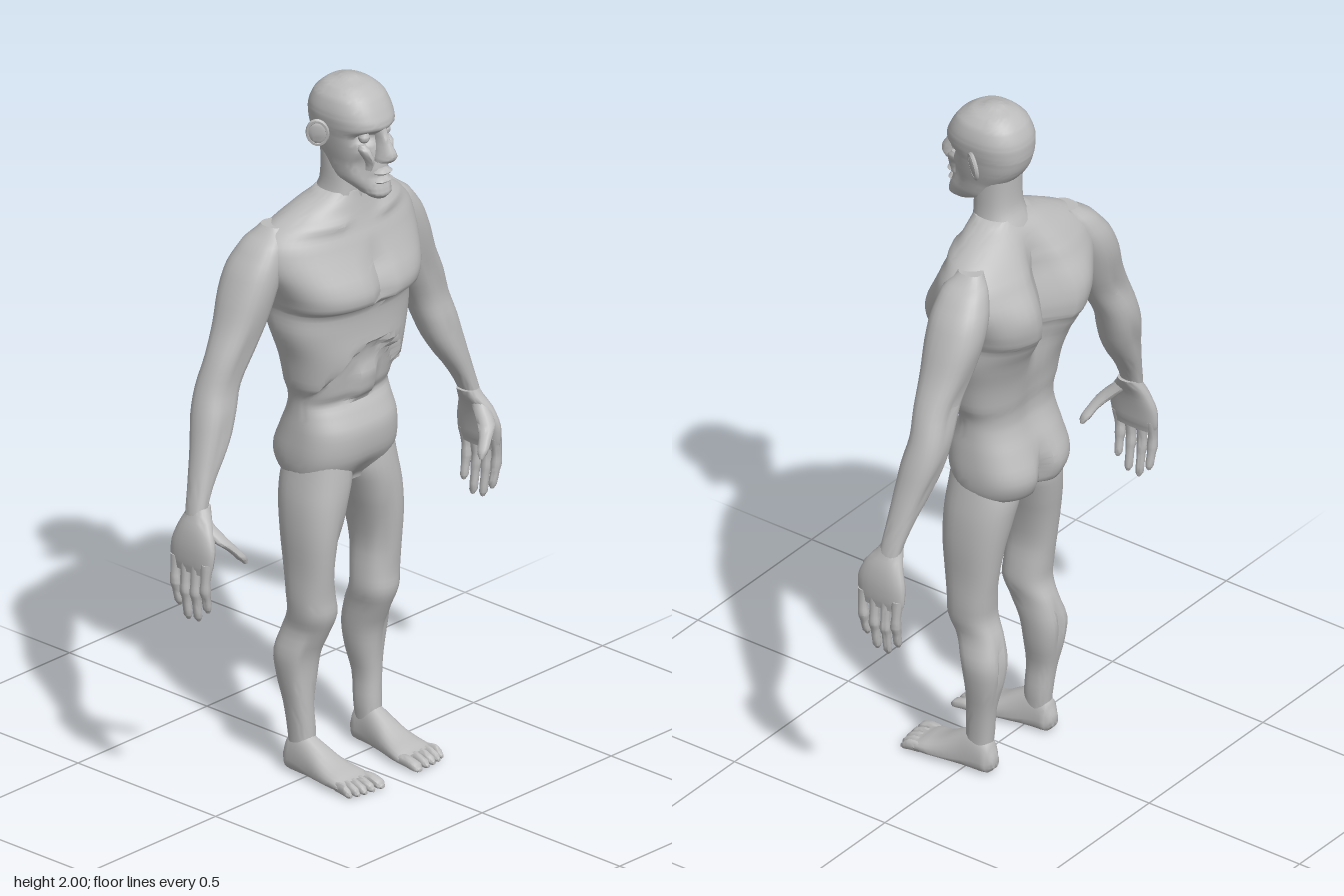
import * as THREE from 'three';
import { toCreasedNormals } from 'three/addons/utils/BufferGeometryUtils.js';

const bump = (v, c, w) => Math.exp(-(((v - c) / w) ** 2));
const step = THREE.MathUtils.smoothstep;

// Smooth interpolation through four values
const spline = (a, b, c, d, t) =>
  b + 0.5 * t * (c - a + t * (2 * a - 5 * b + 4 * c - d + t * (3 * (b - c) + d - a)));

// Skin over rising cross-sections [y, xMin, xMax, zBack, zFront, zWidest, roundness]
function loft(rows, n = 20, sub = 3, deform) {
  const full = rows.map(([y, x0, x1, zb, zf, zs = (zb + zf) / 2, e = 0.85]) => [y, x0, x1, zb, zf, zs, e]);
  const pos = [], idx = [], last = full.length - 1, rings = last * sub;
  for (let i = 0; i <= rings; i++) {
    const k = Math.min(Math.floor(i / sub), last - 1), t = i / sub - k;
    const row = (q) => full[Math.max(0, Math.min(last, q))];
    const [y, x0, x1, zb, zf, zs, e] = full[0].map((_, c) =>
      c ? spline(row(k - 1)[c], row(k)[c], row(k + 1)[c], row(k + 2)[c], t)
        : THREE.MathUtils.lerp(row(k)[0], row(k + 1)[0], t));
    for (let j = 0; j < n; j++) {
      const a = (j / n) * Math.PI * 2, c = Math.cos(a), s = Math.sin(a);
      const p = new THREE.Vector3(
        (x0 + x1) / 2 + ((x1 - x0) / 2) * Math.sign(c) * Math.abs(c) ** e, y,
        zs + (s > 0 ? zf - zs : zs - zb) * Math.sign(s) * Math.abs(s) ** e);
      if (deform) deform(p, s);
      pos.push(p.x, p.y, p.z);
    }
  }
  for (let i = 0; i < rings; i++) for (let j = 0; j < n; j++) {
    const a = i * n + j, b = i * n + (j + 1) % n;
    idx.push(a, a + n, b, b, a + n, b + n);
  }
  // Closed ends
  for (const [ring, end] of [[0, full[0]], [rings, full[last]]]) {
    const c = pos.length / 3, o = ring * n;
    pos.push((end[1] + end[2]) / 2, end[0], (end[3] + end[4]) / 2);
    for (let j = 0; j < n; j++) {
      const k = (j + 1) % n;
      idx.push(c, o + (ring ? k : j), o + (ring ? j : k));
    }
  }
  const g = new THREE.BufferGeometry();
  g.setAttribute('position', new THREE.Float32BufferAttribute(pos, 3));
  g.setIndex(idx);
  return g;
}

// Copy on the other side, with the corner order turned round
function mirror(geo) {
  const g = geo.clone().scale(-1, 1, 1), i = g.index.array;
  for (let k = 0; k < i.length; k += 3) [i[k], i[k + 1]] = [i[k + 1], i[k]];
  return g;
}

const sym = (rows) => rows.map(([y, w, ...rest]) => [y, -w, w, ...rest]);

export function createModel() {
  const model = new THREE.Group();
  const skin = new THREE.MeshStandardMaterial({ color: 0xbcbcbc });
  skin.name = 'grey skin';
  const add = (name, geo) => {
    const m = new THREE.Mesh(toCreasedNormals(geo, 0.75), skin);
    m.name = name;
    model.add(m);
  };
  const pair = (name, geo) => {
    add('left ' + name, geo);
    add('right ' + name, mirror(geo));
  };

  // Torso with chest, rib arch, spine groove and buttocks
  add('torso', loft(sym([
    [0.83, 0.1, -0.1, 0.05, -0.03], [0.86, 0.155, -0.155, 0.07, -0.03],
    [0.92, 0.168, -0.172, 0.095, -0.03, 0.75], [1.0, 0.165, -0.145, 0.1, -0.02, 0.8],
    [1.06, 0.16, -0.12, 0.075, -0.02], [1.1, 0.162, -0.115, 0.1, -0.02],
    [1.14, 0.177, -0.12, 0.107, -0.02], [1.22, 0.192, -0.135, 0.117, -0.02],
    [1.3, 0.215, -0.165, 0.113, -0.02], [1.365, 0.215, -0.2, 0.118, -0.03, 0.8],
    [1.385, 0.222, -0.21, 0.148, -0.03, 0.75], [1.43, 0.24, -0.21, 0.148, -0.04, 0.75],
    [1.5, 0.272, -0.19, 0.115, -0.06, 0.85], [1.56, 0.272, -0.162, 0.09, -0.06, 0.95],
    [1.6, 0.235, -0.135, 0.075, -0.05, 1], [1.64, 0.16, -0.105, 0.065, -0.03, 1],
    [1.68, 0.08, -0.075, 0.058, -0.01, 1],
  ]), 56, 4, (p, s) => {
    const ax = Math.abs(p.x), y = p.y;
    if (s < 0) {
      const groove = 0.06 * step(y, 1.2, 1.4) * (1 - step(y, 1.5, 1.66)) + 0.012;
      p.z += groove * bump(ax, 0, 0.05) * -s;
      p.z += 0.05 * bump(ax, 0, 0.022) * bump(y, 0.89, 0.06);
      p.z -= 0.012 * bump(ax, 0.13, 0.05) * bump(y, 1.47, 0.05);
    } else {
      const arch = 1.26 - 5 * ax * ax;
      p.z -= 0.035 * s * (1 - step(y, arch - 0.025, arch)) * step(y, 1.05, 1.09);
      p.z += 0.016 * (1 - step(ax, 0.03, 0.05)) * step(y, 1.07, 1.09) * (1 - step(y, 1.15, 1.19));
      p.z -= 0.022 * bump(ax, 0, 0.018) * step(y, 1.36, 1.4) * (1 - step(y, 1.46, 1.56));
      p.z += 0.012 * s * bump(y, 1.6 + ax * 0.05, 0.014) * step(ax, 0.04, 0.09);
      p.z -= 0.02 * bump(ax, 0, 0.05) * bump(y, 0.85, 0.04);
    }
  }));

  add('neck', loft(sym([
    [1.6, 0.1, -0.1, 0.05], [1.66, 0.075, -0.08, 0.062], [1.7, 0.066, -0.062, 0.062],
    [1.75, 0.064, -0.058, 0.06], [1.82, 0.062, -0.06, 0.04],
  ]), 24, 3, (p, s) => { if (s > 0) p.z -= 0.012 * bump(Math.abs(p.x), 0.025, 0.012); }));

  // Head with eye sockets, hollow cheeks and mouth line
  add('head', loft(sym([
    [1.682, 0.022, 0.09, 0.145], [1.695, 0.038, 0.065, 0.155], [1.73, 0.06, 0.0, 0.146, 0.04],
    [1.78, 0.07, -0.045, 0.138, 0.03], [1.82, 0.08, -0.078, 0.132, 0.02],
    [1.86, 0.088, -0.093, 0.128, 0.02], [1.885, 0.093, -0.096, 0.148, 0.02],
    [1.92, 0.095, -0.094, 0.137, 0.02], [1.96, 0.083, -0.076, 0.112, 0.02],
    [1.985, 0.058, -0.048, 0.077, 0.015], [2.0, 0.02, -0.008, 0.035, 0.012],
  ]), 48, 5, (p, s) => {
    if (s < 0) return;
    const ax = Math.abs(p.x);
    p.z -= 0.026 * bump(ax, 0.04, 0.022) * bump(p.y, 1.858, 0.016);
    p.z -= 0.02 * bump(ax, 0.05, 0.015) * bump(p.y, 1.775, 0.03);
    p.z -= 0.012 * bump(ax, 0, 0.035) * bump(p.y, 1.745, 0.007);
  }));
  add('nose', loft(sym([
    [1.785, 0.014, 0.11, 0.15], [1.792, 0.026, 0.11, 0.172], [1.81, 0.022, 0.11, 0.185],
    [1.845, 0.013, 0.1, 0.166], [1.885, 0.014, 0.1, 0.146],
  ]), 14));
  for (const [name, y, out] of [['upper lip', 1.758, 0.161], ['lower lip', 1.732, 0.157]])
    add(name, loft(sym([
      [y - 0.009, 0.018, 0.11, out - 0.012], [y, 0.03, 0.11, out], [y + 0.01, 0.016, 0.11, out - 0.01],
    ]), 14));
  pair('eye', new THREE.SphereGeometry(0.016, 14, 10).translate(0.04, 1.858, 0.108));
  pair('cheek fold', loft([
    [1.765, 0.03, 0.04, 0.1, 0.13], [1.79, 0.026, 0.042, 0.1, 0.139],
    [1.825, 0.03, 0.06, 0.09, 0.132], [1.84, 0.038, 0.056, 0.09, 0.118],
  ], 10));

  // Ears: a flat shell with a raised rim
  const earPlace = (g) => g.rotateZ(-0.15).rotateY(-0.6).translate(0.108, 1.862, 0.003);
  pair('ear', earPlace(new THREE.SphereGeometry(1, 14, 10).scale(0.008, 0.036, 0.028)));
  pair('ear rim', earPlace(new THREE.TorusGeometry(0.03, 0.006, 6, 18)
    .rotateY(Math.PI / 2).scale(1, 1.2, 0.9)));

  // Arms
  pair('arm', loft([
    [0.86, 0.515, 0.558, -0.07, -0.01], [0.95, 0.475, 0.537, -0.085, -0.015],
    [1.05, 0.405, 0.51, -0.11, -0.015], [1.13, 0.368, 0.49, -0.13, -0.02],
    [1.2, 0.34, 0.467, -0.135, -0.03], [1.28, 0.297, 0.437, -0.13, -0.02],
    [1.36, 0.255, 0.398, -0.142, -0.008], [1.44, 0.225, 0.368, -0.155, 0.002],
    [1.51, 0.2, 0.335, -0.152, 0.004], [1.57, 0.185, 0.287, -0.13, -0.005],
    [1.61, 0.18, 0.235, -0.1, -0.03],
  ], 24, 3, (p, s) => {
    // Grooves between the upper arm muscles and along the forearm
    p.z -= Math.sign(s) * 0.01 * bump(p.x, 0.36 + (1.3 - p.y) * 0.42, 0.012) * bump(p.y, 1.3, 0.08);
    p.z -= Math.sign(s) * 0.008 * bump(p.x, 0.44 + (1.1 - p.y) * 0.5, 0.012) * bump(p.y, 1.08, 0.07);
  }));
  pair('palm', loft([
    [0.725, 0.545, 0.572, -0.098, 0.035], [0.75, 0.538, 0.576, -0.106, 0.042],
    [0.8, 0.53, 0.576, -0.105, 0.045], [0.85, 0.517, 0.567, -0.088, 0.025],
    [0.9, 0.492, 0.548, -0.07, -0.01],
  ], 20));
  [[0.024, 0.02, 0.615], [-0.013, -0.014, 0.582], [-0.05, -0.05, 0.578], [-0.086, -0.083, 0.61]]
    .forEach(([base, tip, end], i) => {
      const at = (y, x, z, r) => [y, x - r, x + r, z - r, z + r];
      const mid = (end + 0.75) / 2;
      pair('finger ' + (i + 1), loft([
        at(end, 0.55, tip, 0.005), at(end + 0.012, 0.553, tip, 0.011),
        at(mid - 0.02, 0.56, (base + tip) / 2, 0.012), at(mid, 0.564, (base + tip) / 2, 0.015),
        at(mid + 0.03, 0.564, base, 0.013), at(0.76, 0.558, base, 0.017),
      ], 10));
    });
  pair('thumb', loft([
    [0.745, 0.452, 0.464, 0.062, 0.074], [0.76, 0.453, 0.48, 0.05, 0.078],
    [0.79, 0.474, 0.506, 0.035, 0.068], [0.82, 0.495, 0.54, 0.005, 0.052],
    [0.87, 0.515, 0.552, -0.04, 0.008],
  ], 12));

  // Legs
  pair('leg', loft([
    [0.05, 0.1, 0.157, -0.07, 0.005], [0.12, 0.095, 0.16, -0.076, 0.003],
    [0.2, 0.098, 0.168, -0.086, 0.0], [0.28, 0.082, 0.182, -0.105, 0.004],
    [0.35, 0.074, 0.188, -0.112, 0.015], [0.42, 0.07, 0.172, -0.095, 0.045],
    [0.47, 0.062, 0.178, -0.074, 0.064], [0.52, 0.066, 0.181, -0.075, 0.063],
    [0.6, 0.075, 0.18, -0.085, 0.07], [0.7, 0.058, 0.184, -0.1, 0.08],
    [0.79, 0.03, 0.18, -0.115, 0.083], [0.86, 0.008, 0.168, -0.12, 0.08],
    [0.95, 0.02, 0.15, -0.1, 0.07],
  ], 28, 3, (p, s) => {
    // Shin edge, split calf and thigh hollow
    if (s < 0) p.z += 0.014 * bump(p.x, 0.13, 0.012) * bump(p.y, 0.34, 0.08);
    else p.z -= 0.012 * bump(p.x, 0.09, 0.015) * bump(p.y, 0.65, 0.1)
      + 0.012 * bump(p.x, 0.155, 0.015) * bump(p.y, 0.34, 0.1);
  }));

  // Feet, lofted from heel to toe
  const along = (rows, n) => loft(rows.map(([z, x0, x1, low, high, wide]) =>
    [z, x0, x1, -high, -low, wide === undefined ? undefined : -wide]), n).rotateX(Math.PI / 2);
  pair('foot', along([
    [-0.088, 0.115, 0.145, 0.018, 0.055], [-0.072, 0.1, 0.16, 0.002, 0.095, 0.035],
    [-0.03, 0.095, 0.165, 0.0, 0.122, 0.035], [0.02, 0.085, 0.17, 0.002, 0.1, 0.025],
    [0.08, 0.07, 0.18, 0.004, 0.064, 0.02], [0.13, 0.058, 0.185, 0.002, 0.045, 0.02],
    [0.158, 0.062, 0.182, 0.004, 0.034, 0.018],
  ], 20));
  [[0.076, 0.06, 0.208, 0.016], [0.106, 0.1, 0.206, 0.011], [0.13, 0.13, 0.203, 0.011],
    [0.152, 0.156, 0.199, 0.01], [0.172, 0.18, 0.19, 0.009]].forEach(([x, tip, z, r], i) => {
    const mid = (x * 2 + tip) / 3 + 0.002;
    pair('toe ' + (i + 1), along([
      [0.13, x - r, x + r, 0.006, 0.034], [0.165, mid - r, mid + r, 0.005, 0.036],
      [z - 0.01, mid - r, mid + r, 0.002, 0.026], [z, mid - r * 0.5, mid + r * 0.5, 0.004, 0.014],
    ], 10));
  });

  return model;
}
